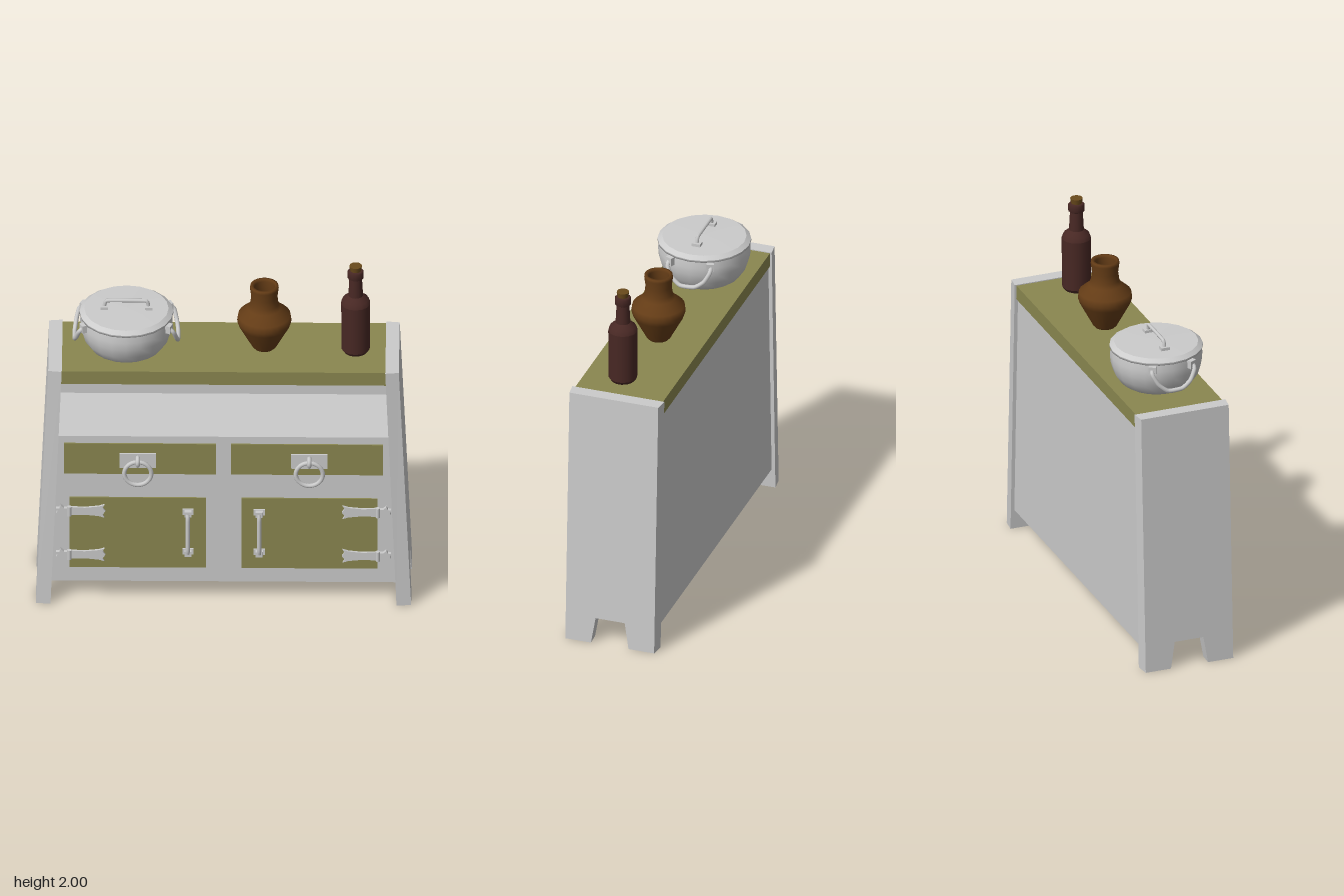
import * as THREE from 'three';

const mat = (color) => new THREE.MeshStandardMaterial({ color, side: THREE.DoubleSide });
const grey = mat(0xcccccc), olive = mat(0x8a8750), clay = mat(0x643c16), glass = mat(0x482824), corkMat = mat(0x6a4a1c);

function add(parent, name, geometry, material = grey, x = 0, y = 0, z = 0) {
  const mesh = new THREE.Mesh(geometry, material);
  mesh.name = name;
  mesh.position.set(x, y, z);
  parent.add(mesh);
  return mesh;
}

function group(parent, name, x = 0, y = 0, z = 0) {
  const g = new THREE.Group();
  g.name = name;
  g.position.set(x, y, z);
  parent.add(g);
  return g;
}

// box given by its limits
function slab(parent, name, x0, x1, y0, y1, z0, z1, material = grey) {
  return add(parent, name, new THREE.BoxGeometry(x1 - x0, y1 - y0, z1 - z0), material,
    (x0 + x1) / 2, (y0 + y1) / 2, (z0 + z1) / 2);
}

const polygon = (pts) => new THREE.Shape(pts.map(([x, y]) => new THREE.Vector2(x, y)));
const extrude = (pts, depth) => new THREE.ExtrudeGeometry(polygon(pts), { depth, bevelEnabled: false });
const turned = (pts, sides) => new THREE.LatheGeometry(pts.map(([r, y]) => new THREE.Vector2(r, y)), sides);
const tube = (pts, radius, segments = 20) => new THREE.TubeGeometry(
  new THREE.CatmullRomCurve3(pts.map((p) => new THREE.Vector3(...p)), false, 'catmullrom', 0.3), segments, radius, 8);

const innerX = (y) => 0.922 - 0.041 * y;
const outerX = (y) => 1 - 0.045 * y;

// leaning end panel with a foot notch
function sidePanelGeometry() {
  const g = extrude([[-0.26, 0], [-0.11, 0], [-0.085, 0.15], [0.085, 0.15], [0.11, 0], [0.26, 0],
    [0.26, 1.465], [-0.26, 1.465]], 1);
  const p = g.attributes.position;
  for (let i = 0; i < p.count; i++) {
    const z = -p.getX(i), y = p.getY(i), t = p.getZ(i);
    p.setXYZ(i, THREE.MathUtils.lerp(innerX(y), outerX(y), t), y, z * (1 - 0.035 * t));
  }
  g.computeVertexNormals();
  return g;
}

// upright board that follows the lean of the end panels
const board = (y0, y1, depth) => extrude([[-innerX(y0), y0], [innerX(y0), y0], [innerX(y1), y1], [-innerX(y1), y1]], depth);

function buildCabinet(root) {
  const cabinet = group(root, 'cabinet');
  for (const turn of [0, Math.PI]) add(cabinet, 'sidePanel', sidePanelGeometry()).rotation.y = turn;
  slab(cabinet, 'topBoard', -0.866, 0.866, 1.38, 1.46, -0.25, 0.245, olive);
  add(cabinet, 'backPanel', board(0.11, 1.38, 0.015), grey, 0, 0, -0.24);
  add(cabinet, 'frontPanel', board(0.11, 1.02, 0.02), grey, 0, 0, 0.18);
  add(cabinet, 'shelf', board(1.01, 1.025, 0.43), grey, 0, 0, -0.227);

  for (const s of [-1, 1]) {
    const span = (a, b) => (s > 0 ? [a, b] : [-b, -a]);
    slab(cabinet, 'cupboardBox', ...span(0.1, 0.82), 0.2, 0.64, -0.18, 0.18);
    slab(cabinet, 'door', ...span(0.095, 0.82), 0.2, 0.64, 0.195, 0.208, olive);
    slab(cabinet, 'drawerFront', ...span(0.04, 0.85), 0.79, 0.98, 0.195, 0.208, olive);
    buildRingPull(cabinet, s * 0.457);
    buildDoorHandle(cabinet, s * 0.19);
    for (const y of [0.285, 0.56]) buildHinge(cabinet, s, y);
  }
}

function buildRingPull(parent, x) {
  const pull = group(parent, 'ringPull', x, 0, 0.208);
  slab(pull, 'pullPlate', -0.098, 0.098, 0.835, 0.922, 0, 0.01);
  add(pull, 'pullRing', new THREE.TorusGeometry(0.072, 0.012, 8, 28), grey, 0, 0.81, 0.026);
  add(pull, 'pullLoop', new THREE.TorusGeometry(0.022, 0.012, 8, 14), grey, 0, 0.882, 0.02).rotation.y = Math.PI / 2;
}

function buildDoorHandle(parent, x) {
  const handle = group(parent, 'doorHandle', x, 0.43, 0.208);
  for (const s of [-1, 1]) {
    slab(handle, 'handlePlate', -0.03, 0.03, s * 0.125 - 0.018, s * 0.125 + 0.018, 0, 0.008);
    slab(handle, 'handlePost', -0.019, 0.019, s * 0.125 - 0.015, s * 0.125 + 0.015, 0.008, 0.035);
  }
  add(handle, 'handleBar', tube([[0, -0.125, 0.026], [0, -0.09, 0.034], [0, 0.09, 0.034], [0, 0.125, 0.026]], 0.012));
}

// strap hinge with a forked outer end
function buildHinge(parent, s, y) {
  const half = [[0.63, 0], [0.645, 0.022], [0.635, 0.04], [0.665, 0.03], [0.74, 0.022], [0.822, 0.026],
    [0.826, 0.018], [0.85, 0.018], [0.868, 0.036], [0.875, 0.018], [0.893, 0.016], [0.885, 0]];
  const lower = half.slice(1, -1).reverse().map(([x, h]) => [x, -h]);
  const hinge = group(parent, 'hinge', 0, y, 0.2);
  if (s < 0) hinge.rotation.z = Math.PI;
  add(hinge, 'hingeStrap', extrude([...half, ...lower].reverse(), 0.02));
  add(hinge, 'hingePin', new THREE.CylinderGeometry(0.012, 0.012, 0.058, 8), grey, 0.822, 0, 0.018);
}

function buildPot(root) {
  const pot = group(root, 'pot', -0.52, 1.465, 0);
  add(pot, 'potBody', turned([[0, 0], [0.165, 0], [0.195, 0.02], [0.228, 0.07], [0.244, 0.125], [0.247, 0.17], [0.242, 0.212]], 20));
  add(pot, 'potRim', turned([[0.236, 0.205], [0.25, 0.21], [0.25, 0.222]], 20));
  add(pot, 'potLid', turned([[0.25, 0.222], [0.225, 0.24]], 20));
  add(pot, 'lidTop', turned([[0.225, 0.24], [0, 0.245]], 20));

  // lid handle on two feet
  add(pot, 'lidHandle', tube([[-0.118, 0.25, 0], [-0.112, 0.28, 0], [-0.095, 0.288, 0],
    [0.095, 0.288, 0], [0.112, 0.28, 0], [0.118, 0.25, 0]], 0.01, 28));
  for (const s of [-1, 1]) {
    slab(pot, 'lidHandleFoot', s * 0.118 - 0.02, s * 0.118 + 0.02, 0.238, 0.258, -0.024, 0.024);
    // hanging side loops with their lugs
    const ear = group(pot, 'sideHandle');
    if (s < 0) ear.rotation.y = Math.PI;
    add(ear, 'sideLoop', tube([[0.225, 0.19, -0.115], [0.252, 0.165, -0.12], [0.268, 0.11, -0.09], [0.276, 0.075, -0.04],
      [0.276, 0.072, 0.04], [0.268, 0.11, 0.09], [0.252, 0.165, 0.12], [0.225, 0.19, 0.115]], 0.012, 32));
    for (const t of [-1, 1]) {
      add(ear, 'sideLug', new THREE.BoxGeometry(0.03, 0.045, 0.04), grey, 0.228, 0.185, t * 0.112).rotation.y = -t * 0.45;
    }
  }
}

function buildVase(root) {
  const vase = group(root, 'vase', 0.215, 1.467, 0);
  add(vase, 'vaseBody', turned([[0, 0], [0.055, 0], [0.066, 0.012], [0.135, 0.14], [0.145, 0.17], [0.14, 0.205],
    [0.088, 0.25], [0.076, 0.275], [0.07, 0.32], [0.077, 0.372], [0.075, 0.388], [0.062, 0.39], [0.054, 0.375],
    [0.054, 0.27], [0.09, 0.2], [0, 0.1]], 24), clay);
}

function buildBottle(root) {
  const bottle = group(root, 'bottle', 0.702, 1.467, 0.03);
  // separate bands keep the edges crisp
  const bands = [
    [[0, 0], [0.065, 0]], [[0.065, 0], [0.077, 0.018]], [[0.077, 0.018], [0.079, 0.3]],
    [[0.079, 0.3], [0.07, 0.325], [0.04, 0.35]], [[0.04, 0.35], [0.034, 0.46]],
    [[0.034, 0.455], [0.044, 0.462], [0.044, 0.497], [0.036, 0.505], [0, 0.505]],
  ];
  for (const b of bands) add(bottle, 'bottleBody', turned(b, 14), glass);
  add(bottle, 'cork', new THREE.CylinderGeometry(0.034, 0.028, 0.035, 12), corkMat, 0, 0.516, 0);
}

export function createModel() {
  const root = new THREE.Group();
  root.name = 'sideboard';
  buildCabinet(root);
  buildPot(root);
  buildVase(root);
  buildBottle(root);
  return root;
}
